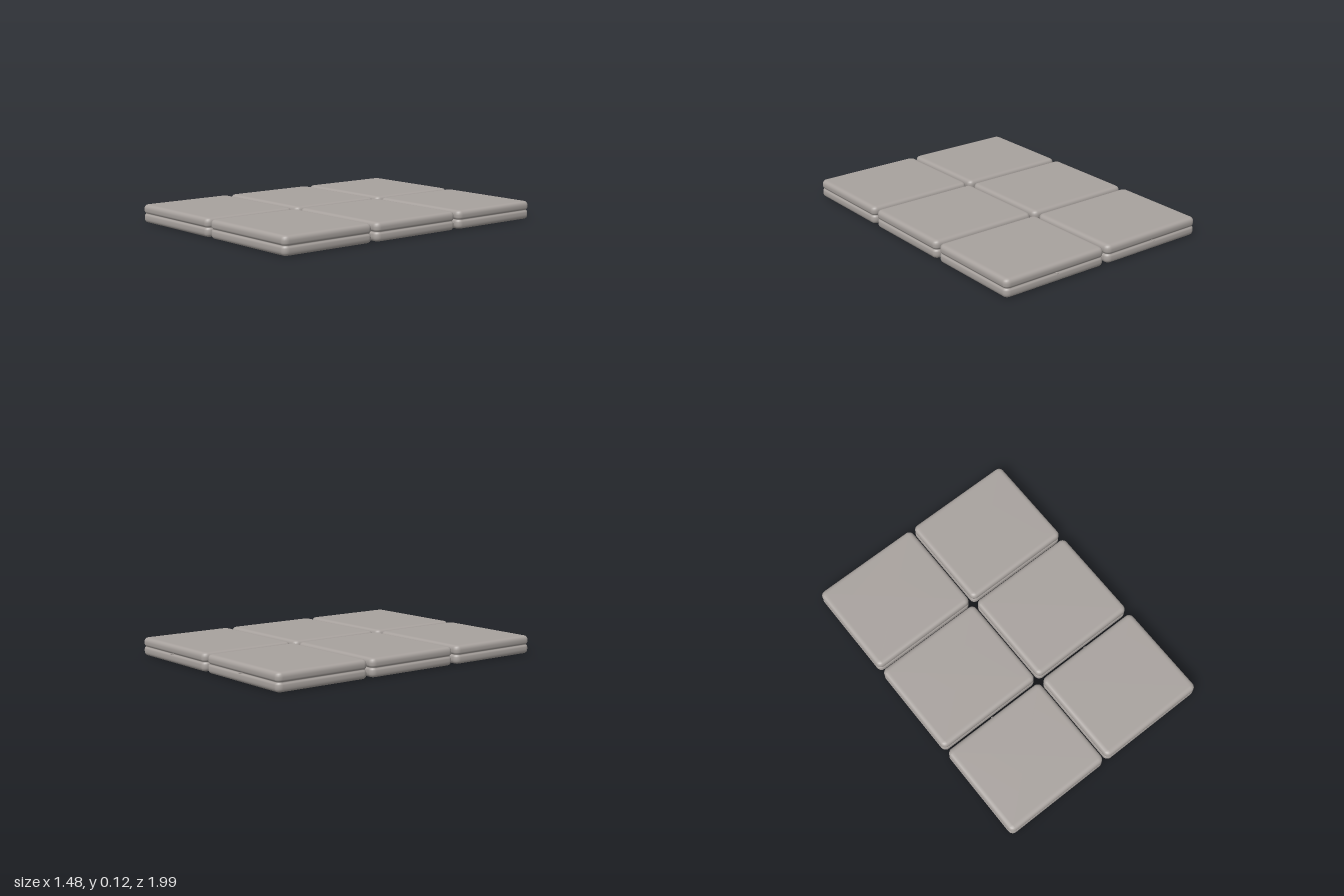
import * as THREE from 'three';

const HALF_W = 0.365, HALF_D = 0.322, CORNER = 0.036, ARC = 6;

// Side profile from bottom to top: [inset from the outer side, height]
const PROFILE = [
  [0.034, 0.0025], [0.022, 0.003], [0.012, 0.006], [0.005, 0.012], [0.001, 0.021],
  [0, 0.032], [0.0005, 0.046], [0.003, 0.053], [0.008, 0.058],
  [0.009, 0.061],
  [0.008, 0.064], [0.003, 0.069], [0.0005, 0.076], [0, 0.09],
  [0.001, 0.099], [0.005, 0.108], [0.012, 0.114], [0.022, 0.117], [0.034, 0.1175],
];

// Lofts rounded rectangles along the profile and closes both ends
function cushionGeometry() {
  const pos = [], index = [];
  const n = 4 * (ARC + 1);
  for (const [inset, y] of PROFILE) {
    const r = CORNER - inset;
    for (let c = 0; c < 4; c++) {
      const sx = c === 0 || c === 3 ? 1 : -1;
      const sz = c < 2 ? 1 : -1;
      for (let i = 0; i <= ARC; i++) {
        const a = (c + i / ARC) * Math.PI / 2;
        pos.push(sx * (HALF_W - CORNER) + r * Math.cos(a), y, sz * (HALF_D - CORNER) + r * Math.sin(a));
      }
    }
  }
  for (let k = 0; k < PROFILE.length - 1; k++) {
    for (let i = 0; i < n; i++) {
      const a = k * n + i, b = k * n + (i + 1) % n;
      index.push(a, a + n, b, b, a + n, b + n);
    }
  }
  const top = (PROFILE.length - 1) * n;
  const low = pos.length / 3;
  pos.push(0, PROFILE[0][1], 0, 0, PROFILE[PROFILE.length - 1][1], 0);
  for (let i = 0; i < n; i++) {
    const j = (i + 1) % n;
    index.push(low, i, j, low + 1, top + j, top + i);
  }
  const g = new THREE.BufferGeometry();
  g.setAttribute('position', new THREE.Float32BufferAttribute(pos, 3));
  g.setIndex(index);
  g.computeVertexNormals();
  return g;
}

export function createModel() {
  const model = new THREE.Group();
  model.name = 'floorCushions';
  const fabric = new THREE.MeshStandardMaterial({ color: 0xa8a29e });
  fabric.name = 'warm grey fabric';

  const cushionGeo = cushionGeometry();
  const pullGeo = new THREE.BoxGeometry(0.016, 0.004, 0.02);

  // Two columns by three rows of cushions
  for (const x of [-0.375, 0.375]) {
    for (const z of [-0.667, 0.002, 0.672]) {
      const cushion = new THREE.Group();
      cushion.name = 'cushion';
      cushion.position.set(x, 0, z);

      const body = new THREE.Mesh(cushionGeo, fabric);
      body.name = 'cushionBody';
      cushion.add(body);

      // Small zip pull in the middle of the back seam
      const pull = new THREE.Mesh(pullGeo, fabric);
      pull.name = 'zipPull';
      pull.position.set(0, 0.061, -HALF_D - 0.001);
      cushion.add(pull);
      model.add(cushion);
    }
  }
  return model;
}
